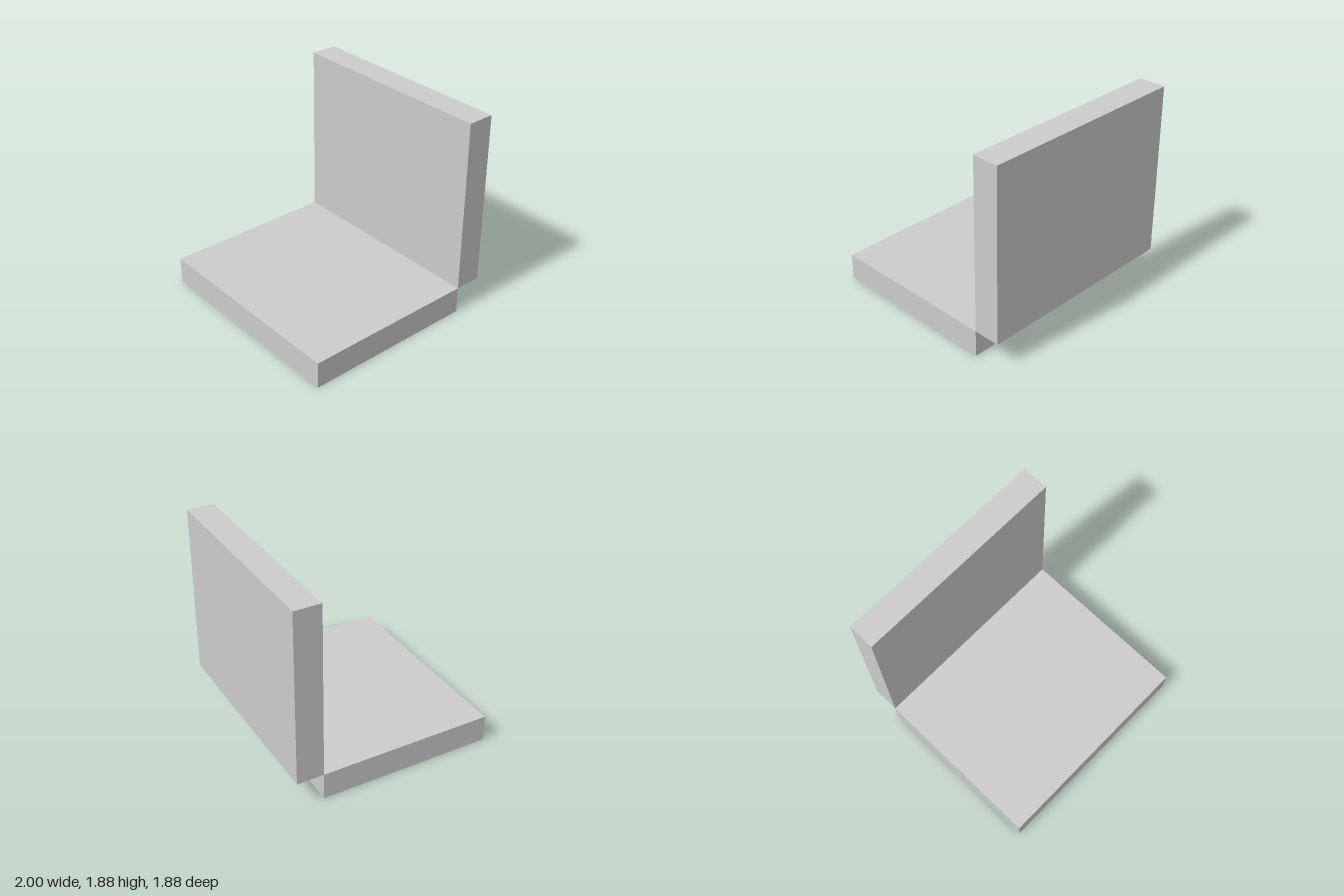
import * as THREE from 'three';

const WIDTH = 2;
const THICKNESS = 0.25;
const LENGTH = 1.625; // seat depth and backrest height

export function createModel() {
  const group = new THREE.Group();
  const material = new THREE.MeshStandardMaterial({ color: 0xcccccc, flatShading: true });

  const addSlab = (name, height, depth, y, z) => {
    const mesh = new THREE.Mesh(new THREE.BoxGeometry(WIDTH, height, depth), material);
    mesh.name = name;
    mesh.position.set(0, y, z);
    group.add(mesh);
  };

  // Seat lies flat on the ground, toward the front
  addSlab('seat', THICKNESS, LENGTH, THICKNESS / 2, THICKNESS / 2);

  // Backrest stands behind it, meeting the seat only along its top rear edge
  addSlab('backrest', LENGTH, THICKNESS, THICKNESS + LENGTH / 2, -LENGTH / 2);

  return group;
}
